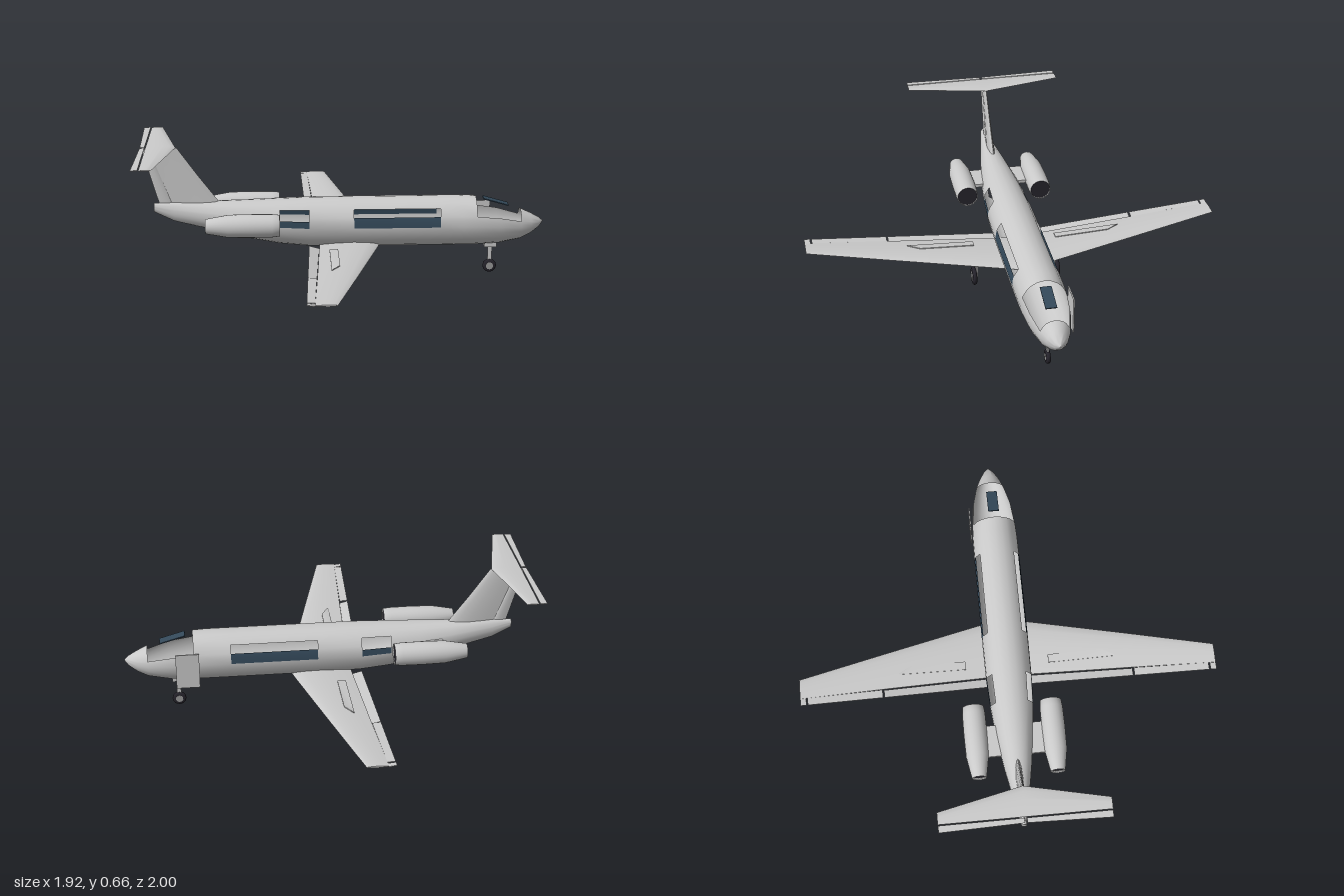
import * as THREE from 'three';
import { toCreasedNormals } from 'three/addons/utils/BufferGeometryUtils.js';

const material = (name, color, side = THREE.FrontSide) => {
  const m = new THREE.MeshStandardMaterial({ color, side });
  m.name = name;
  return m;
};

export function createModel() {
  const model = new THREE.Group();
  model.name = 'businessJet';
  const paint = material('lightGreyPaint', 0xcacaca, THREE.DoubleSide);
  const glass = material('darkBlueGlass', 0x34495a, THREE.DoubleSide);
  const dark = material('nearBlack', 0x26242c, THREE.DoubleSide);
  const metal = material('hubGrey', 0x9a9a9a);

  const add = (name, geometry, mat, x = 0, y = 0, z = 0) => {
    const mesh = new THREE.Mesh(geometry, mat);
    mesh.name = name;
    mesh.position.set(x, y, z);
    model.add(mesh);
    return mesh;
  };
  const box = (name, w, h, d, mat, x, y, z) => add(name, new THREE.BoxGeometry(w, h, d), mat, x, y, z);

  // Skin over closed rings of points; keep(i, j) chooses the cells to fill
  const skin = (rings, keep = () => true, caps = true) => {
    const n = rings[0].length, index = [];
    for (let i = 0; i < rings.length - 1; i++) {
      for (let j = 0; j < n; j++) {
        if (!keep(i, j)) continue;
        const a = i * n + j, b = i * n + (j + 1) % n;
        index.push(a, a + n, b, b, a + n, b + n);
      }
    }
    if (caps) {
      const last = (rings.length - 1) * n;
      for (let j = 1; j < n - 1; j++) index.push(0, j, j + 1, last, last + j + 1, last + j);
    }
    const g = new THREE.BufferGeometry();
    g.setAttribute('position', new THREE.Float32BufferAttribute(rings.flat(2), 3));
    g.setIndex(index);
    return toCreasedNormals(g, 0.6);
  };

  // Fuselage stations: x, bottom, top, half width
  const stations = [
    [-0.895, 0.342, 0.385, 0.012], [-0.8, 0.296, 0.39, 0.03], [-0.7, 0.272, 0.391, 0.048],
    [-0.6, 0.248, 0.392, 0.066], [-0.45, 0.21, 0.396, 0.088], [-0.3, 0.182, 0.401, 0.102],
    [-0.16, 0.168, 0.405, 0.109], [0.05, 0.165, 0.406, 0.111], [0.46, 0.165, 0.406, 0.111],
    [0.57, 0.165, 0.406, 0.11], [0.635, 0.165, 0.403, 0.107], [0.75, 0.171, 0.38, 0.095],
    [0.85, 0.19, 0.338, 0.07], [0.9, 0.215, 0.315, 0.049], [0.94, 0.245, 0.293, 0.024],
    [0.96, 0.272, 0.276, 0.002],
  ];
  const half = [-90, -72, -56, -36, -18, -2, 14, 22, 42, 56, 72];
  const angles = [...half, 90, ...half.slice(1).reverse().map((a) => 180 - a)];
  const rings = stations.map(([x, lo, hi, w]) => angles.map((a) => {
    const t = THREE.MathUtils.degToRad(a);
    return [x, (lo + hi) / 2 + Math.sin(t) * (hi - lo) / 2, Math.cos(t) * w];
  }));
  // Each cell is told by its first station and the lower angle of its row
  const row = (j) => half[Math.min(j, angles.length - 1 - j)];
  const opening = (i, j) => {
    const x = stations[i][0], a = row(j);
    if (x === 0.05 || x === -0.3) return a >= -2 && a < 42;
    if (x === 0.635 || x === 0.75) return a >= 22;
    return x === -0.6 && a === -72;
  };
  const pane = (i, j) => {
    const x = stations[i][0], a = row(j);
    return (x === 0.05 && a >= -2 && a < 22) || (x === -0.3 && a === -2);
  };
  add('fuselage', skin(rings, (i, j) => !opening(i, j)), paint);
  add('cabinWindows', skin(rings, pane, false), glass);
  box('windshield', 0.125, 0.005, 0.052, glass, 0.73, 0.378, 0.003).rotation.z = -0.28;
  box('cabinDoor', 0.11, 0.175, 0.006, paint, 0.665, 0.257, -0.115);

  // Aerofoil section; upright sections serve the fin
  const profile = [[0, 0], [0.04, 0.4], [0.18, 0.8], [0.42, 1], [0.75, 0.65], [1, 0.2]];
  const outline = [...profile, ...profile.slice(1).reverse().map(([u, v]) => [u, -v])];
  const foil = (front, back, thick, y, z, upright = false) => outline.map(([u, v]) => {
    const x = front + (back - front) * u, t = v * thick / 2;
    return upright ? [x, y, z + t] : [x, y + t, z];
  });
  // Thin plate section from a front edge to a back edge
  const slab = (x0, y0, x1, y1, z) => [
    [x0, y0 + 0.002, z], [x1, y1 + 0.001, z], [x1, y1 - 0.001, z], [x0, y0 - 0.002, z]];

  // Wings with flaps, ailerons and spoilers
  const wingY = (z) => 0.18 + 0.061 * z;
  for (const s of [1, -1]) {
    const side = s > 0 ? 'right' : 'left';
    const span = (name, list) => add(side + name, skin(s > 0 ? list : list.reverse()), paint);
    span('Wing', [
      foil(0.185, -0.11, 0.04, wingY(0), 0),
      foil(0.16, -0.115, 0.036, wingY(0.11), s * 0.11),
      foil(0.045, -0.135, 0.022, wingY(0.58), s * 0.58),
      foil(-0.06, -0.155, 0.009, wingY(1), s),
    ]);
    const control = (z, drop) =>
      slab(-0.112 - 0.043 * z, wingY(z) - drop, -0.16 - 0.03 * z, wingY(z) + 0.002, s * z);
    span('Flap', [control(0.08, 0.012), control(0.6, 0.009)]);
    span('Aileron', [control(0.607, 0.001), control(0.965, 0.001)]);
    span('WingTip', [control(0.972, 0.003), control(1, 0.003)]);
    const spoiler = (z, x0) => slab(x0, wingY(z) + 0.021 - 0.014 * z, -0.07, wingY(z) + 0.019 - 0.014 * z, s * z);
    span('Spoiler', [spoiler(0.2, -0.03), spoiler(0.46, -0.03), spoiler(0.52, -0.065)]);

    // Elevator behind the tailplane
    span('Elevator', [
      slab(-0.93, 0.655, -0.952, 0.655, s * 0.006),
      slab(-0.93, 0.655, -0.962, 0.655, s * 0.384),
    ]);

    // Engine pod, intake, exhaust and pylon
    const podShape = [[0.046, -0.31], [0.05, -0.3], [0.054, -0.335], [0.055, -0.43],
      [0.053, -0.54], [0.034, -0.645], [0.03, -0.63]];
    const pod = new THREE.LatheGeometry(
      podShape.map(([r, x]) => new THREE.Vector2(r, -x)), 24).rotateZ(Math.PI / 2);
    add(side + 'EnginePod', pod, paint, 0, 0.325, s * 0.183);
    for (const [name, r, x, turn] of [['Intake', 0.048, -0.306, 1], ['Exhaust', 0.031, -0.635, -1]]) {
      add(side + name, new THREE.CircleGeometry(r, 24).rotateY(turn * Math.PI / 2), dark, x, 0.325, s * 0.183);
    }
    box(side + 'Pylon', 0.15, 0.016, 0.075, paint, -0.475, 0.325, s * 0.105);
  }

  // Fin and rudder
  add('fin', skin([
    foil(-0.58, -0.81, 0.034, 0.38, 0, true),
    foil(-0.685, -0.865, 0.021, 0.52, 0, true),
    foil(-0.78, -0.915, 0.014, 0.655, 0, true),
  ]), paint);
  add('rudder', skin([
    foil(-0.805, -0.87, 0.014, 0.385, 0, true),
    foil(-0.91, -0.945, 0.009, 0.65, 0, true),
  ]), paint);

  // Tailplane
  add('tailplane', skin([
    foil(-0.87, -0.925, 0.006, 0.655, -0.385),
    foil(-0.785, -0.925, 0.016, 0.655, 0),
    foil(-0.87, -0.925, 0.006, 0.655, 0.385),
  ]), paint);

  // Landing gear: tyre, hub, twin-edged strut and door
  const gear = (name, x, z, r, y, strut, top) => {
    const disc = (radius, width) => new THREE.CylinderGeometry(radius, radius, width, 10).rotateX(Math.PI / 2);
    const tyre = new THREE.LatheGeometry([[0.5, -1], [0.86, -1], [1, -0.4], [1, 0.4], [0.86, 1], [0.5, 1]]
      .map(([a, b]) => new THREE.Vector2(a * r, b * 0.01)), 12).rotateX(Math.PI / 2);
    add(name + 'Tyre', tyre, dark, x, y, z);
    add(name + 'Hub', disc(r * 0.55, 0.022), metal, x, y, z);
    box(name + 'Strut', strut, top - y, 0.008, paint, x, (top + y) / 2, z - Math.sign(z) * 0.013);
  };
  for (const s of [1, -1]) {
    const side = s > 0 ? 'right' : 'left';
    gear(side + 'Main', -0.02, s * 0.205, 0.045, 0.045, 0.03, 0.19);
    box(side + 'GearDoor', 0.07, 0.035, 0.004, paint, -0.02, 0.17, s * 0.16);
  }
  gear('nose', 0.71, 0, 0.033, 0.05, 0.02, 0.18);
  for (const s of [1, -1]) box('noseGearDoor', 0.06, 0.03, 0.003, paint, 0.71, 0.163, s * 0.014);

  return model;
}
